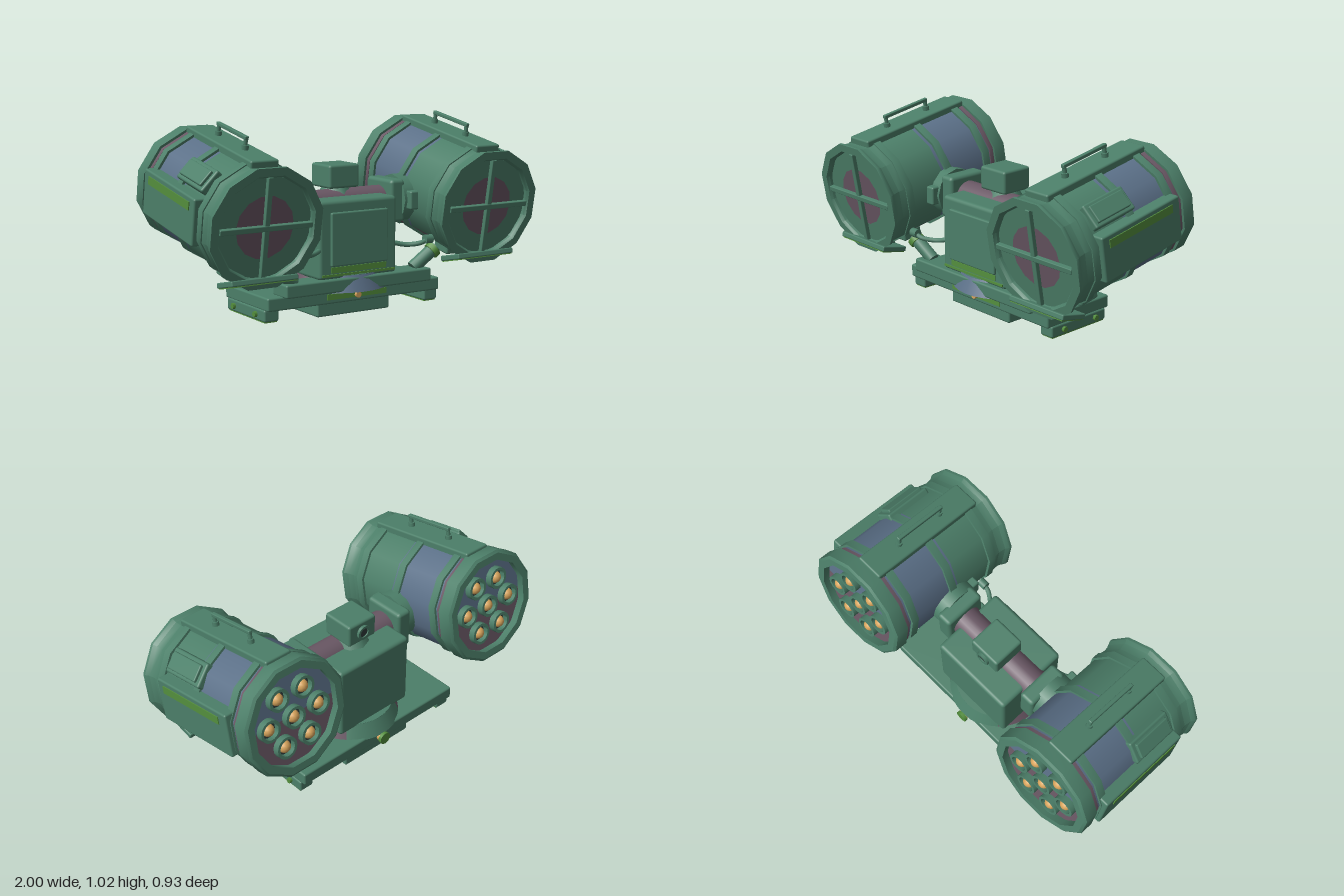
import * as THREE from 'three';
import { toCreasedNormals } from 'three/addons/utils/BufferGeometryUtils.js';
import { RoundedBoxGeometry } from 'three/addons/geometries/RoundedBoxGeometry.js';

const mat = (name, color) => {
  const m = new THREE.MeshStandardMaterial({ color });
  m.name = name;
  return m;
};
const PI = Math.PI, FLAT = PI / 12, K = 1 / Math.cos(FLAT);

export function createModel() {
  const green = mat('field green', 0x4c7f69), blue = mat('slate blue', 0x5b7088);
  const purple = mat('dull purple', 0x695764), lime = mat('bright green', 0x548f3d);
  const gold = mat('brass', 0xd8a45c), dark = mat('dark bore', 0x2f3b3a);
  const model = new THREE.Group();

  const add = (parent, name, geo, material, x = 0, y = 0, z = 0) => {
    const m = new THREE.Mesh(geo, material);
    m.name = name;
    m.position.set(x, y, z);
    parent.add(m);
    return m;
  };
  // box given by its min/max limits
  const box = (parent, name, material, x0, x1, y0, y1, z0, z1, r = 0.01) => {
    const w = x1 - x0, h = y1 - y0, d = z1 - z0;
    const geo = r ? new RoundedBoxGeometry(w, h, d, 2, r) : new THREE.BoxGeometry(w, h, d);
    return add(parent, name, geo, material, (x0 + x1) / 2, (y0 + y1) / 2, (z0 + z1) / 2);
  };
  // twelve-sided ring along z from [apothem, z] points
  const ring = (parent, name, material, pts, seg = 12, k = K) => {
    const p = pts.map(([r, z]) => new THREE.Vector2(r * k, z));
    const g = new THREE.LatheGeometry(p, seg, PI / seg).rotateX(PI / 2);
    return add(parent, name, toCreasedNormals(g, 0.6), material);
  };
  const band = (r0, r1, z0, z1) => [[r0, z0], [r1, z0], [r1, z1], [r0, z1], [r0, z0]];
  const cylX = (r, len, seg = 20) => new THREE.CylinderGeometry(r, r, len, seg).rotateZ(PI / 2);
  const cylZ = (r, len, seg = 16) => new THREE.CylinderGeometry(r, r, len, seg).rotateX(PI / 2);
  const tube = (parent, name, material, pts, r) => add(parent, name, new THREE.TubeGeometry(
    new THREE.CatmullRomCurve3(pts.map(p => new THREE.Vector3(...p))), 16, r, 10), material);

  // ---- launcher drums ----
  for (const s of [-1, 1]) {
    const drum = new THREE.Group();
    drum.name = s > 0 ? 'leftDrum' : 'rightDrum';
    drum.position.set(s * 0.675, 0.614, 0);
    drum.rotation.x = PI / 18;
    model.add(drum);

    // painted shell sectors
    const shell = (name, m, z0, z1, a0, n) => add(drum, name, new THREE.CylinderGeometry(
      0.283 * K, 0.283 * K, z1 - z0, n, 1, true, a0, n * PI / 6).rotateX(PI / 2), m, 0, 0, (z0 + z1) / 2);
    shell('shellBelly', purple, -0.34, 0.32, -PI / 4, 3);
    shell('shellRear', blue, -0.34, 0.04, PI / 4, 9);
    shell('shellFront', green, 0.04, 0.32, PI / 4, 9);
    for (const z of [-0.275, 0, 0.285]) ring(drum, 'shellBand', green, band(0.27, 0.296, z - 0.022, z + 0.022));
    ring(drum, 'rearSeal', purple, band(0.26, 0.289, -0.34, -0.31));
    ring(drum, 'rearRim', green, [[0.25, -0.418], [0.288, -0.418], [0.302, -0.408], [0.302, -0.335],
      [0.26, -0.335], [0.25, -0.418]]);
    ring(drum, 'frontRim', green, [[0.26, 0.3], [0.29, 0.305], [0.284, 0.345], [0.29, 0.385], [0.303, 0.405],
      [0.303, 0.42], [0.262, 0.42], [0.252, 0.405], [0.252, 0.36], [0.26, 0.3]]);

    // front cover with cross bars
    add(drum, 'frontCover', cylZ(0.265, 0.03, 12), green, 0, 0, 0.375);
    add(drum, 'coverPatch', new THREE.CircleGeometry(0.16, 14), purple, 0, 0, 0.393);
    box(drum, 'crossBar', green, -0.255, 0.255, -0.014, 0.014, 0.39, 0.418, 0.004);
    box(drum, 'crossBar', green, -0.014, 0.014, -0.255, 0.255, 0.39, 0.416, 0.004);

    // rear plate with seven nozzles
    for (const i of [0, 1]) {
      const half = add(drum, 'rearPlate', new THREE.CircleGeometry(0.262, 12, i * PI, PI), i ? purple : blue, 0, 0, -0.375);
      half.rotation.y = PI;
    }
    for (let i = 0; i < 7; i++) {
      const r = i ? 0.155 : 0, a = i * PI / 3, x = r * Math.cos(a), y = r * Math.sin(a);
      ring(drum, 'nozzle', green, band(0.045, 0.06, -0.41, -0.37), 16, 1).position.set(x, y, 0);
      add(drum, 'nozzleBore', cylZ(0.046, 0.01), dark, x, y, -0.376);
      add(drum, 'nozzleCore', new THREE.SphereGeometry(0.033, 14, 10), gold, x, y, -0.383);
    }

    // spine and carrying handle
    box(drum, 'spine', green, -0.077, 0.077, 0.25, 0.32, -0.345, 0.345);
    for (const z of [-0.138, 0.143]) {
      add(drum, 'handleCollar', new THREE.CylinderGeometry(0.018, 0.018, 0.025, 10), green, 0, 0.33, z);
      add(drum, 'handlePost', new THREE.CylinderGeometry(0.011, 0.011, 0.055, 8), green, 0, 0.355, z);
    }
    box(drum, 'handleGrip', green, -0.011, 0.011, 0.369, 0.389, -0.15, 0.155, 0.005);

    // outer side case, stripe and upper case
    const o = (a, b) => s > 0 ? [a, b] : [-b, -a];
    box(drum, 'sideCase', green, ...o(0.24, 0.32), -0.112, 0.126, -0.292, 0.262);
    box(drum, 'sideStripe', lime, ...o(0.318, 0.325), 0.058, 0.1, -0.235, 0.215, 0);
    const upper = new THREE.Group();
    upper.name = 'upperCase';
    upper.rotation.z = s > 0 ? 0.72 : PI - 0.72;
    drum.add(upper);
    box(upper, 'upperCaseBody', green, 0.26, 0.312, -0.065, 0.065, -0.03, 0.24);
    box(upper, 'upperCaseLid', green, 0.305, 0.328, -0.045, 0.045, -0.005, 0.22, 0.006);

    // lower bracket
    box(drum, 'lowerBracket', green, -0.09, 0.09, -0.325, -0.27, 0.1, 0.22);

    // tilted lip plate with bright underside
    const lip = new THREE.Group();
    lip.name = 'lipPlate';
    lip.position.set(s * 0.675, 0.272, 0.312);
    lip.rotation.x = -0.22;
    model.add(lip);
    box(lip, 'lipSlab', green, -0.185, 0.185, -0.013, 0.015, -0.08, 0.08, 0.006);
    box(lip, 'lipUnderside', lime, -0.178, 0.178, -0.018, -0.012, -0.074, 0.074, 0);
    box(lip, 'lipMount', green, -0.1, 0.1, 0.01, 0.045, -0.07, 0.02, 0.006);

    // trunnion joining drum and axle
    box(model, 'trunnionBlock', green, ...o(0.26, 0.35), 0.45, 0.68, -0.14, 0.1, 0.02);
    add(model, 'trunnionFlange', cylX(0.13, 0.07, 12), green, s * 0.365, 0.57, 0);
    box(model, 'flangeLug', green, ...o(0.345, 0.41), 0.52, 0.62, 0.08, 0.16);

    // elevation strut and cable
    const strut = add(model, 'elevationStrut', new THREE.CylinderGeometry(0.036, 0.036, 0.17, 14), green, s * 0.44, 0.255, 0.15);
    strut.rotation.set(0.2, 0, -s * 0.9);
    const collar = add(model, 'strutCollar', new THREE.CylinderGeometry(0.045, 0.045, 0.03, 14), lime, s * 0.49, 0.293, 0.16);
    collar.rotation.copy(strut.rotation);
    tube(model, 'cable', green, [[s * 0.22, 0.36, 0.16], [s * 0.29, 0.345, 0.19], [s * 0.36, 0.355, 0.235], [s * 0.42, 0.38, 0.24]], 0.013);
    add(model, 'cablePlug', cylX(0.024, 0.045, 12), green, s * 0.4, 0.372, 0.24);

    // feet with bolts
    box(model, 'foot', green, ...o(0.455, 0.54), 0.012, 0.075, -0.26, 0.135);
    box(model, 'footPad', lime, ...o(0.462, 0.533), 0.007, 0.013, -0.25, 0.125, 0);
    for (const z of [0.05, -0.18]) add(model, 'footBolt', cylX(0.016, 0.025, 6), lime, s * 0.543, 0.043, z);
  }

  // ---- central tower ----
  box(model, 'tower', green, -0.24, 0.24, 0.2, 0.61, -0.237, 0.18, 0.02);
  box(model, 'towerPanel', green, -0.175, 0.175, 0.27, 0.55, 0.17, 0.196, 0.008);
  box(model, 'towerStripe', lime, -0.17, 0.17, 0.235, 0.265, 0.176, 0.185, 0);
  box(model, 'towerLowerStripe', lime, -0.225, 0.225, 0.217, 0.229, 0.178, 0.186, 0);
  add(model, 'axle', cylX(0.086, 0.56, 24), purple, 0, 0.557, -0.02);

  // sensor head
  add(model, 'sensorNeck', new THREE.CylinderGeometry(0.06, 0.1, 0.06, 8), green, 0, 0.635, -0.05);
  box(model, 'sensorHead', green, -0.093, 0.093, 0.65, 0.775, -0.14, 0.045, 0.014);
  ring(model, 'sensorLensRing', green, band(0.026, 0.04, -0.155, -0.13), 16, 1).position.set(0, 0.71, 0);
  add(model, 'sensorLens', cylZ(0.027, 0.01), dark, 0, 0.71, -0.143);

  // ---- turntable, painted in four sectors ----
  [blue, purple, green, purple].forEach((m, i) => add(model, 'turntableSkirt', new THREE.CylinderGeometry(
    0.235, 0.272, 0.085, 8, 1, true, (i - 0.5) * PI / 2, PI / 2), m, 0, 0.173, -0.037));
  add(model, 'turntableTop', new THREE.CylinderGeometry(0.235, 0.235, 0.01, 32), green, 0, 0.212, -0.037);

  // ---- base ----
  box(model, 'frontBeam', green, -0.45, 0.45, 0.135, 0.205, 0.065, 0.205);
  box(model, 'basePlate', green, -0.535, 0.535, 0.07, 0.14, -0.288, 0.162);
  box(model, 'baseStripe', lime, -0.185, 0.185, 0.092, 0.122, 0.158, 0.166, 0);
  box(model, 'baseBlock', green, -0.225, 0.225, 0, 0.08, -0.26, 0.135);
  add(model, 'rearKnobStem', cylZ(0.028, 0.03), gold, 0, 0.103, -0.298);
  add(model, 'rearKnob', cylZ(0.034, 0.018), lime, 0, 0.103, -0.317);
  add(model, 'frontStud', cylZ(0.016, 0.02), gold, 0, 0.105, 0.172);

  return model;
}
